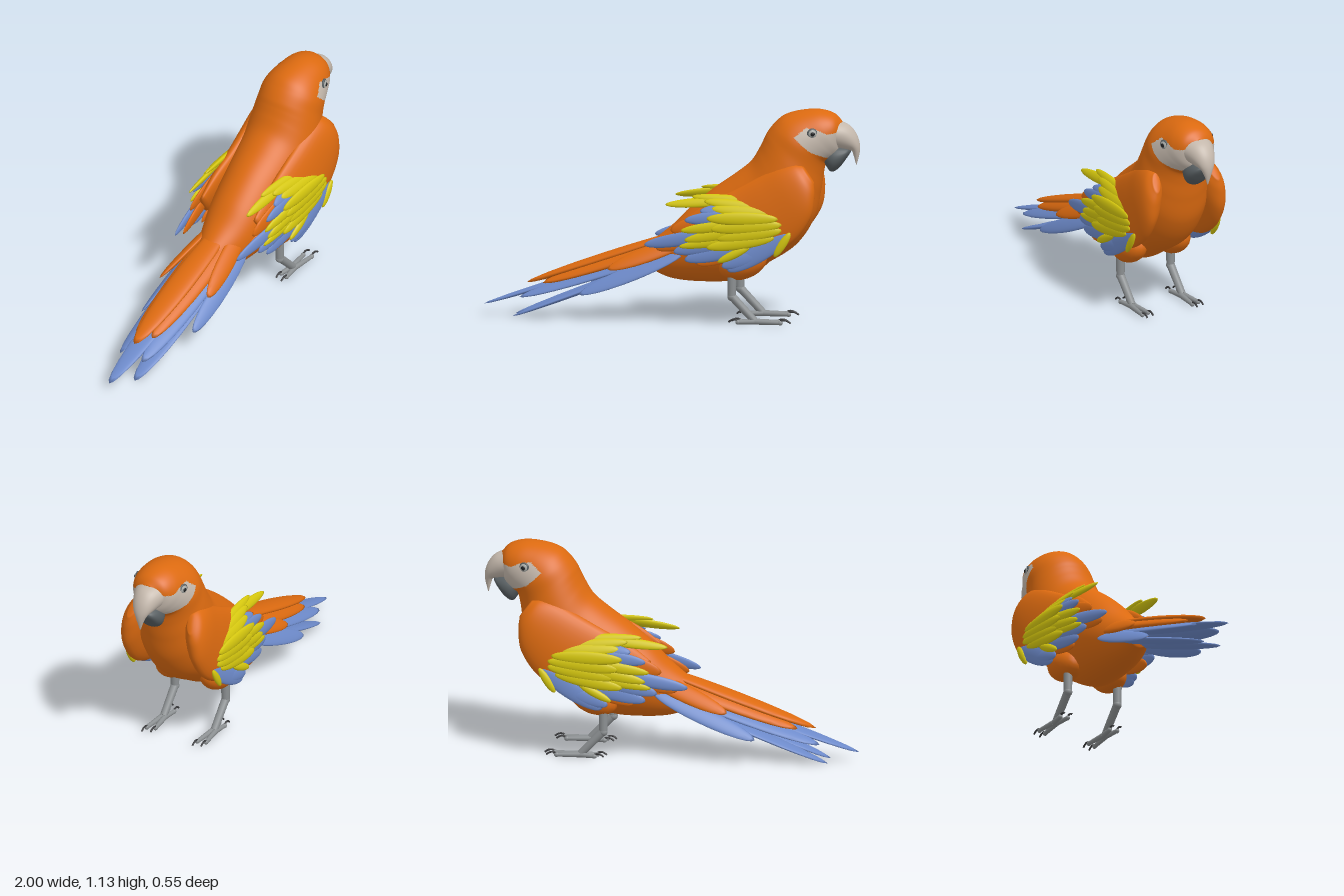
import * as THREE from 'three';

const mat = (name, color) => Object.assign(new THREE.MeshStandardMaterial({ color }), { name });
const V = (x, y, z = 0) => new THREE.Vector3(x, y, z);

// Smooth loft through elliptical sections: [topX, topY, bottomX, bottomY, halfWidth, topZ, bottomZ], listed back to front
function loft(sections, rows, cols, inPatch) {
  const curve = (f) => new THREE.CatmullRomCurve3(sections.map(f), false, 'catmullrom', 0.5);
  const top = curve((s) => V(s[0], s[1], s[5] || 0));
  const bottom = curve((s) => V(s[2], s[3], s[6] || 0));
  const width = curve((s, i) => V(i, s[4], 0));
  const pos = [], main = [], patch = [];
  for (let i = 0; i <= rows; i++) {
    const a = top.getPoint(i / rows), b = bottom.getPoint(i / rows);
    const w = Math.max(0.002, width.getPoint(i / rows).y);
    const c = a.clone().add(b).multiplyScalar(0.5), u = a.sub(c);
    for (let j = 0; j < cols; j++) {
      const t = (j / cols) * Math.PI * 2;
      pos.push(c.x + u.x * Math.cos(t), c.y + u.y * Math.cos(t), c.z + u.z * Math.cos(t) + w * Math.sin(t));
    }
  }
  const tri = (...ids) => {
    const mean = (k) => (pos[ids[0] * 3 + k] + pos[ids[1] * 3 + k] + pos[ids[2] * 3 + k]) / 3;
    (inPatch && inPatch(mean(0), mean(1)) ? patch : main).push(...ids);
  };
  for (let i = 0; i < rows; i++) for (let j = 0; j < cols; j++) {
    const k = (j + 1) % cols, a = i * cols + j, b = i * cols + k;
    tri(a, b, a + cols);
    tri(b, b + cols, a + cols);
  }
  // end caps
  for (const row of [0, rows]) {
    const centre = pos.length / 3, r = row * cols, h = r + cols / 2;
    pos.push(...[0, 1, 2].map((k) => (pos[r * 3 + k] + pos[h * 3 + k]) / 2));
    for (let j = 0; j < cols; j++) {
      const k = (j + 1) % cols;
      row ? tri(centre, r + j, r + k) : tri(centre, r + k, r + j);
    }
  }
  const g = new THREE.BufferGeometry();
  g.setAttribute('position', new THREE.Float32BufferAttribute(pos, 3));
  g.setIndex(main.concat(patch));
  if (inPatch) {
    g.addGroup(0, main.length, 0);
    g.addGroup(main.length, patch.length, 1);
  }
  g.computeVertexNormals();
  return g;
}

export function createModel() {
  const model = new THREE.Group();
  model.name = 'parrot';
  const orange = mat('orange plumage', 0xdc6a10), yellow = mat('yellow plumage', 0xd4c60e);
  const blue = mat('blue plumage', 0x6d8aca), bare = mat('pale skin and beak', 0xc4b8ac);
  const dark = mat('dark beak', 0x565d60), grey = mat('grey leg', 0x8c9092);
  const claw = mat('claw', 0x3c3c3e), iris = mat('iris', 0xa8aaa6), pupil = mat('pupil', 0x202224);
  const add = (name, geometry, material, parent = model) => {
    const m = new THREE.Mesh(geometry, material);
    m.name = name;
    parent.add(m);
    return m;
  };

  // Leaf-shaped feather from root a to tip b, lying flat against normal n
  const leaf = new THREE.SphereGeometry(1, 18, 12);
  const feather = (name, a, b, halfWidth, material, n, thick = 0.014, parent = model) => {
    const m = add(name, leaf, material, parent);
    const along = b.clone().sub(a), x = along.clone().normalize();
    const y = n.clone().cross(x).normalize(), z = x.clone().cross(y);
    m.quaternion.setFromRotationMatrix(new THREE.Matrix4().makeBasis(x, y, z));
    m.position.copy(a).add(b).multiplyScalar(0.5);
    m.scale.set(along.length() / 2, halfWidth, thick);
    return m;
  };
  const rod = (name, a, b, r1, r2, material, parent) => {
    const d = b.clone().sub(a);
    const m = add(name, new THREE.CylinderGeometry(r2, r1, d.length(), 14), material, parent);
    m.quaternion.setFromUnitVectors(V(0, 1, 0), d.normalize());
    m.position.copy(a).add(b).multiplyScalar(0.5);
  };

  // Body and head, with the bare face patch as a second material
  const face = [[0.67, 1.0], [0.73, 1.05], [0.79, 1.04], [0.84, 1.015], [0.88, 1.02], [0.95, 1.05],
    [0.95, 0.9], [0.83, 0.885], [0.75, 0.925]];
  const inFace = (x, y) => {
    let inside = false;
    face.forEach(([ax, ay], i) => {
      const [bx, by] = face[(i + 1) % face.length];
      if ((ay > y) !== (by > y) && x < ((bx - ax) * (y - ay)) / (by - ay) + ax) inside = !inside;
    });
    return inside;
  };
  add('body', loft([
    [-0.14, 0.39, -0.12, 0.27, 0.06], [0.0, 0.5, 0.0, 0.22, 0.12], [0.1, 0.6, 0.17, 0.205, 0.16],
    [0.22, 0.7, 0.34, 0.22, 0.185], [0.34, 0.785, 0.51, 0.31, 0.2], [0.42, 0.85, 0.66, 0.41, 0.205],
    [0.465, 0.92, 0.755, 0.55, 0.2], [0.49, 0.97, 0.79, 0.69, 0.188], [0.51, 1.01, 0.805, 0.79, 0.177],
    [0.55, 1.06, 0.82, 0.85, 0.172], [0.6, 1.1, 0.845, 0.87, 0.16], [0.68, 1.125, 0.87, 0.89, 0.143],
    [0.78, 1.133, 0.89, 0.92, 0.122], [0.86, 1.112, 0.9, 0.97, 0.088], [0.905, 1.07, 0.91, 1.02, 0.03],
  ], 150, 120, inFace), [orange, bare]);

  // Beak
  add('upper beak', loft([
    [0.88, 1.078, 0.84, 0.93, 0.095], [0.94, 1.052, 0.89, 0.925, 0.075], [0.977, 1.01, 0.93, 0.92, 0.057],
    [0.996, 0.96, 0.955, 0.915, 0.04], [0.998, 0.91, 0.965, 0.89, 0.022], [0.982, 0.843, 0.978, 0.843, 0.003],
  ], 30, 32), bare);
  add('lower beak', loft([
    [0.82, 0.94, 0.81, 0.85, 0.06], [0.87, 0.945, 0.845, 0.802, 0.073], [0.91, 0.94, 0.885, 0.82, 0.066],
    [0.94, 0.93, 0.925, 0.87, 0.045], [0.95, 0.92, 0.948, 0.905, 0.015],
  ], 20, 28), dark);

  // Tail
  const up = V(-0.35, 0.93, 0);
  feather('tail top feather', V(0.14, 0.49), V(-0.77, 0.18), 0.07, orange, up, 0.025);
  feather('long tail feather', V(0, 0.39), V(-1, 0.06), 0.06, blue, up, 0.016);
  for (const s of [1, -1]) {
    const tilt = V(-0.3, 0.85, 0.4 * s), flank = V(-0.25, 0.6, 0.75 * s);
    feather('tail cover feather', V(0.14, 0.46, 0.06 * s), V(-0.68, 0.185, 0.05 * s), 0.055, orange, tilt, 0.022);
    feather('lower tail feather', V(0.02, 0.34, 0.06 * s), V(-0.84, 0.004, 0.05 * s), 0.062, blue, up, 0.016);
    feather('middle tail feather', V(0.02, 0.38, 0.08 * s), V(-0.8, 0.11, 0.07 * s), 0.055, blue, tilt, 0.016);
    feather('side tail feather', V(0.08, 0.37, 0.13 * s), V(-0.47, 0.145, 0.165 * s), 0.048, blue, flank, 0.014);
    feather('side cover feather', V(0.16, 0.46, 0.07 * s), V(-0.32, 0.28, 0.155 * s), 0.05, orange, flank, 0.018);
  }

  // Wing feathers: [rootX, rootY, tipX, tipY, halfWidth]
  const blues = [
    [0.66, 0.5, 0.33, 0.3, 0.052], [0.58, 0.42, 0.3, 0.32, 0.04], [0.48, 0.44, 0.1, 0.35, 0.042],
    [0.4, 0.47, 0.04, 0.39, 0.04], [0.3, 0.5, -0.12, 0.42, 0.036], [0.45, 0.6, 0.1, 0.56, 0.035],
    [0.5, 0.64, 0.18, 0.61, 0.035],
  ];
  const yellows = [
    [0.4, 0.67, -0.01, 0.635, 0.028], [0.52, 0.66, 0.13, 0.68, 0.026], [0.54, 0.63, 0.2, 0.66, 0.03],
    [0.6, 0.61, 0.24, 0.625, 0.034], [0.6, 0.58, 0.22, 0.575, 0.035], [0.48, 0.56, 0.08, 0.505, 0.03],
    [0.62, 0.55, 0.24, 0.52, 0.036], [0.5, 0.53, 0.1, 0.455, 0.032], [0.62, 0.52, 0.27, 0.47, 0.036],
    [0.52, 0.49, 0.07, 0.42, 0.028], [0.58, 0.48, 0.22, 0.42, 0.034], [0.45, 0.43, 0.28, 0.345, 0.022],
    [0.665, 0.51, 0.58, 0.38, 0.022],
  ];
  const oranges = [
    [0.42, 0.6, 0.02, 0.5, 0.05], [0.36, 0.52, -0.06, 0.4, 0.045], [0.5, 0.45, 0.16, 0.33, 0.045],
  ];
  const wingZ = (x, y) => 0.26 - 0.7 * Math.max(0, y - 0.58) - 0.17 * Math.max(0, 0.2 - x);

  for (const s of [1, -1]) {
    const wing = new THREE.Group();
    wing.name = s > 0 ? 'leftWing' : 'rightWing';
    model.add(wing);
    add('wing shoulder', loft([
      [0.08, 0.55, 0.18, 0.4, 0.02, 0.17 * s, 0.21 * s], [0.2, 0.64, 0.36, 0.36, 0.045, 0.165 * s, 0.22 * s],
      [0.34, 0.71, 0.54, 0.38, 0.058, 0.16 * s, 0.22 * s], [0.47, 0.78, 0.68, 0.46, 0.066, 0.16 * s, 0.215 * s],
      [0.58, 0.84, 0.765, 0.58, 0.065, 0.16 * s, 0.21 * s], [0.66, 0.86, 0.785, 0.69, 0.052, 0.16 * s, 0.2 * s],
      [0.72, 0.85, 0.78, 0.77, 0.02, 0.165 * s, 0.185 * s],
    ], 40, 32), orange, wing);
    for (const [label, list, material, lift] of [
      ['orange wing feather', oranges, orange, -0.028], ['blue wing feather', blues, blue, -0.008],
      ['yellow wing feather', yellows, yellow, 0],
    ]) {
      for (const [ax, ay, bx, by, w] of list) {
        feather(label, V(ax, ay, (wingZ(ax, ay) + lift) * s), V(bx, by, (wingZ(bx, by) + lift) * s), w, material,
          V(0, ay > 0.6 ? 0.6 : 0.12, s), 0.014, wing);
      }
    }

    // Eye
    const eye = new THREE.Group();
    eye.name = 'eye';
    eye.position.set(0.765, 1.02, 0.137 * s);
    eye.rotation.y = 0.3 * s;
    model.add(eye);
    const ball = new THREE.SphereGeometry(1, 20, 14);
    for (const [label, r, d, z, m] of [['eye rim', 0.029, 0.012, 0, dark], ['iris', 0.024, 0.014, 0.002, iris],
      ['pupil', 0.012, 0.007, 0.012, pupil]]) {
      const part = add(label, ball, m, eye);
      part.scale.set(r, r, d);
      part.position.z = z * s;
    }

    // Leg and foot
    const leg = new THREE.Group();
    leg.name = s > 0 ? 'leftLeg' : 'rightLeg';
    leg.position.z = 0.153 * s;
    model.add(leg);
    feather('thigh', V(0.52, 0.37, -0.02 * s), V(0.27, 0.28, -0.02 * s), 0.085, orange, V(0, 0, 1), 0.08, leg);
    rod('upper leg', V(0.34, 0.3), V(0.34, 0.145), 0.025, 0.022, grey, leg);
    rod('lower leg', V(0.34, 0.15), V(0.46, 0.022), 0.022, 0.02, grey, leg);
    const knee = add('leg joint', ball, grey, leg);
    knee.position.set(0.34, 0.147, 0);
    knee.scale.setScalar(0.0235);
    for (const [x, z, tip] of [[0.6, 0.022, 0.655], [0.585, -0.022, 0.64], [0.375, 0.02, 0.325], [0.385, -0.02, 0.335]]) {
      rod('toe', V(0.465, 0.018, z * 0.4), V(x, 0.016, z), 0.015, 0.011, grey, leg);
      const pad = add('toe end', ball, grey, leg);
      pad.position.set(x, 0.016, z);
      pad.scale.set(0.014, 0.013, 0.012);
      const path = new THREE.QuadraticBezierCurve3(V(x, 0.024, z), V((x + tip) / 2, 0.04, z), V(tip, 0.015, z));
      add('claw', new THREE.TubeGeometry(path, 8, 0.005, 8), claw, leg);
    }
  }
  return model;
}
